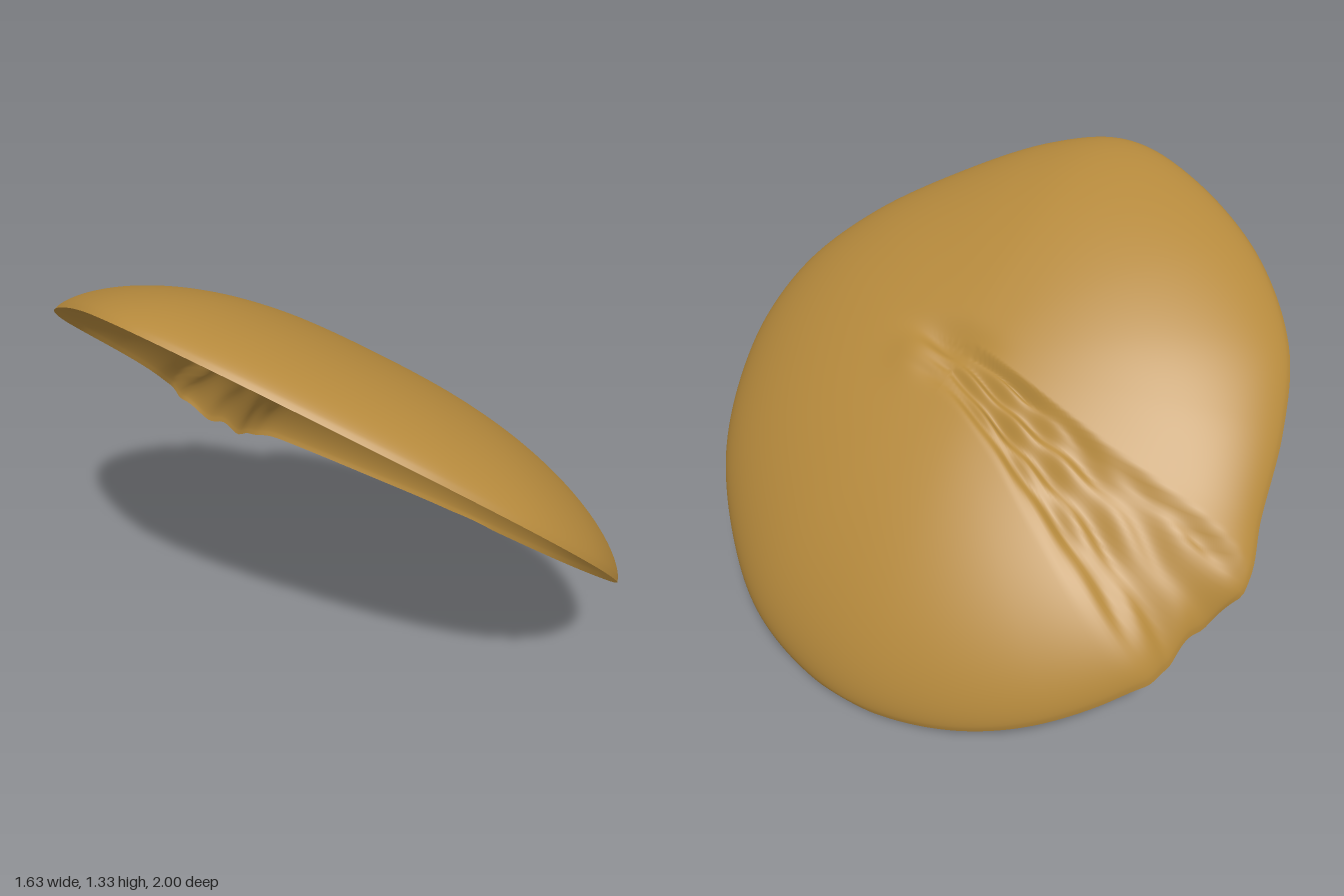
import * as THREE from 'three';

const RINGS = 96, SEGMENTS = 360;
const smooth = THREE.MathUtils.smoothstep;
const lerp = THREE.MathUtils.lerp;

// Outline of the shell seen from above, as [x, z]
const OUTLINE = [
  [-0.81, 0], [-0.75, -0.3], [-0.6, -0.62], [-0.4, -0.83], [-0.2, -0.92], [0, -0.965],
  [0.13, -1], [0.21, -0.935], [0.3, -0.89], [0.42, -0.855], [0.6, -0.67], [0.73, -0.43],
  [0.8, -0.15], [0.8, 0.1], [0.73, 0.4], [0.6, 0.63], [0.4, 0.85], [0.2, 0.96],
  [0, 1], [-0.2, 0.955], [-0.4, 0.8], [-0.6, 0.53], [-0.75, 0.25],
];

// Sunken, wrinkled groove running from the middle to the back rim
function groove(x, z) {
  const along = 1 - smooth(z, -0.25, 0.2);
  const crease = 0.13 + 0.05 * Math.sin(Math.PI * Math.min(1, Math.max(0, -z)));
  const width = lerp(0.11, 0.25, smooth(-z, 0, 0.9));
  const v = (x - crease) / width;
  const bed = smooth(v, -0.06, 0.08) * (1 - smooth(v, 0.75, 1.35));
  const saddle = Math.exp(-(((x - 0.28) / 0.24) ** 2)) * smooth(-z, 0, 0.8);
  const wrinkles = 0.009 * Math.sin(v * 17 + 1.2 * Math.sin(z * 9))
    + 0.005 * Math.sin(z * 31 + v * 8);
  // Small dimple and raised lip where the groove starts
  const dimple = -0.03 * Math.exp(-(((x - 0.13) / 0.04) ** 2) - ((z - 0.06) / 0.12) ** 2);
  const lip = 0.012 * Math.exp(-(((x - 0.2) / 0.07) ** 2) - ((z - 0.14) / 0.08) ** 2);
  return along * (bed * (wrinkles - 0.04) - 0.05 * saddle) + dimple + lip;
}

// Point of the tilted dome: r runs from the apex (0) to the rim (1)
function domePoint(rim, r) {
  const rise = 0.31 * Math.pow(Math.max(0, 1 - Math.pow(r, 2.4)), 0.68);
  const x = rim.x * r + 0.63 * rise;
  const z = rim.z * r;
  const sag = -0.035 * smooth(-z, 0.1, 0.8);
  const y = 0.65 - 0.81 * rim.x * r + 0.777 * rise + sag + groove(x, z);
  return [x, Math.max(0, y), z];
}

function shellGeometry() {
  const curve = new THREE.CatmullRomCurve3(
    OUTLINE.map(([x, z]) => new THREE.Vector3(x, 0, z)), true, 'centripetal');
  const rim = curve.getSpacedPoints(SEGMENTS);
  const positions = [...domePoint(rim[0], 0)];
  const index = [];
  const id = (ring, j) => 1 + (ring - 1) * SEGMENTS + (j % SEGMENTS);
  for (let i = 1; i <= RINGS; i++) {
    // Rings crowd towards the steep rim
    const t = i / RINGS;
    const r = lerp(t, Math.sin(t * Math.PI / 2), 0.6);
    for (let j = 0; j < SEGMENTS; j++) {
      positions.push(...domePoint(rim[j], r));
      if (i === 1) index.push(0, id(1, j + 1), id(1, j));
      else {
        const a = id(i - 1, j), b = id(i, j), c = id(i, j + 1), d = id(i - 1, j + 1);
        index.push(a, d, c, a, c, b);
      }
    }
  }
  const geometry = new THREE.BufferGeometry();
  geometry.setAttribute('position', new THREE.Float32BufferAttribute(positions, 3));
  geometry.setIndex(index);
  geometry.computeVertexNormals();
  return geometry;
}

export function createModel() {
  const model = new THREE.Group();
  model.name = 'tiltedShell';
  // Open, thin dome with its groove
  const shell = new THREE.Mesh(shellGeometry(),
    new THREE.MeshStandardMaterial({ color: 0xb5893c, side: THREE.DoubleSide }));
  shell.name = 'groovedDome';
  model.add(shell);
  return model;
}
